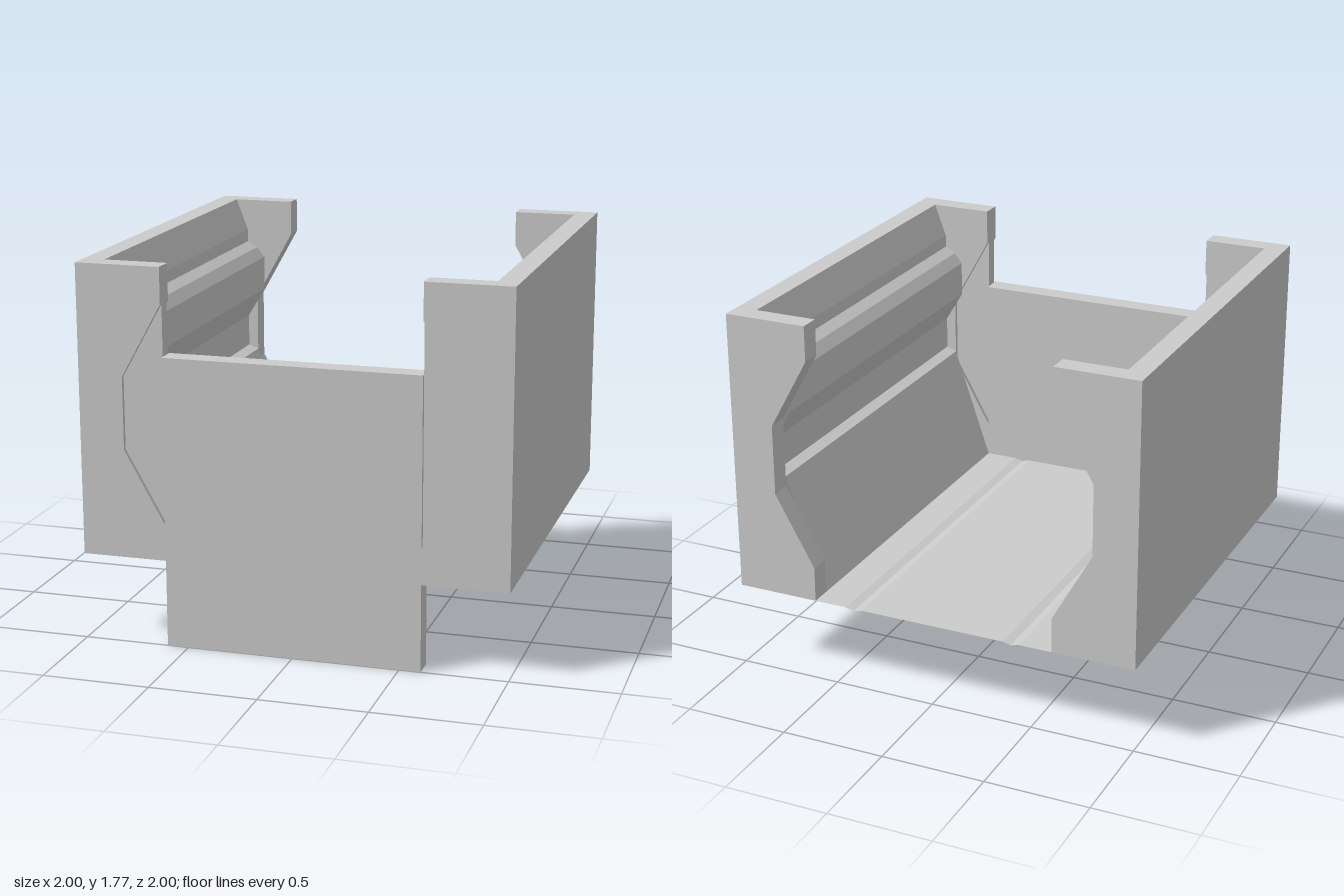
import * as THREE from 'three';

const mat = new THREE.MeshStandardMaterial({ color: 0xcccccc });
const sheetMat = new THREE.MeshStandardMaterial({ color: 0xcccccc, side: THREE.DoubleSide, flatShading: true });

const BOTTOM = 0.41, TOP = 1.77;

function box(name, x0, x1, y0, y1, z0, z1) {
  const m = new THREE.Mesh(new THREE.BoxGeometry(x1 - x0, y1 - y0, z1 - z0), mat);
  m.position.set((x0 + x1) / 2, (y0 + y1) / 2, (z0 + z1) / 2);
  m.name = name;
  return m;
}

// Plate with an outline in x/y, extruded from z0 to z1
function plate(name, pts, z0, z1) {
  const shape = new THREE.Shape(pts.map(([x, y]) => new THREE.Vector2(x, y)));
  const geo = new THREE.ExtrudeGeometry(shape, { depth: z1 - z0, bevelEnabled: false });
  geo.translate(0, 0, z0);
  const m = new THREE.Mesh(geo, mat);
  m.name = name;
  return m;
}

// Thin folded sheet: an x/y profile swept from z0 to z1
function sheet(name, pts, z0, z1) {
  const pos = [];
  for (let i = 0; i + 1 < pts.length; i++) {
    const [a, b] = [pts[i], pts[i + 1]];
    pos.push(...a, z0, ...a, z1, ...b, z1, ...a, z0, ...b, z1, ...b, z0);
  }
  const geo = new THREE.BufferGeometry();
  geo.setAttribute('position', new THREE.Float32BufferAttribute(pos, 3));
  geo.computeVertexNormals();
  const m = new THREE.Mesh(geo, sheetMat);
  m.name = name;
  return m;
}

// Mirror an x/y outline, keeping its order consistent
const mirror = (pts) => pts.map(([x, y]) => [-x, y]).reverse();

export function createModel() {
  const g = new THREE.Group();

  // Six-sided notch on the inner edge of each end cap
  const notch = [[0.6, 1.6], [0.79, 1.26], [0.79, 0.92], [0.6, 0.58]];
  const cap = [[0.6, BOTTOM], [0.9, BOTTOM], [0.9, TOP], [0.6, TOP], ...notch];
  // Folded inner wall, from the floor edge up to the rim
  const lining = [
    [0.6, BOTTOM], [0.79, 0.97], [0.84, 0.99], [0.84, 1.15], [0.75, 1.3],
    [0.75, 1.47], [0.79, 1.52], [0.84, 1.55], [0.84, 1.61], [0.9, TOP],
  ];

  for (const s of [1, -1]) {
    const side = s > 0 ? 'left' : 'right';
    const flip = (pts) => (s > 0 ? pts : mirror(pts));
    const [x0, x1] = s > 0 ? [0.9, 1] : [-1, -0.9];
    g.add(box(side + 'OuterWall', x0, x1, BOTTOM, TOP, -1, 1));
    g.add(plate(side + 'FrontCap', flip(cap), 0.9, 1));
    g.add(plate(side + 'BackCap', flip(cap), -1, -0.9));
    g.add(sheet(side + 'InnerLining', flip(lining), -0.9, 0.9));
    // Ear of the front panel, seated slightly recessed in the notch
    g.add(plate(side + 'PanelEar', flip(notch), 0.92, 0.98));
  }

  // Slide-in front panel hanging below the floor
  g.add(box('frontPanel', -0.6, 0.6, 0, 1.36, 0.9, 1));

  // Floor with two shallow V grooves
  const half = [[0.36, BOTTOM], [0.4, 0.4], [0.44, BOTTOM], [0.6, BOTTOM]];
  g.add(sheet('floor', [...mirror(half), ...half], -1, 0.9));

  return g;
}
